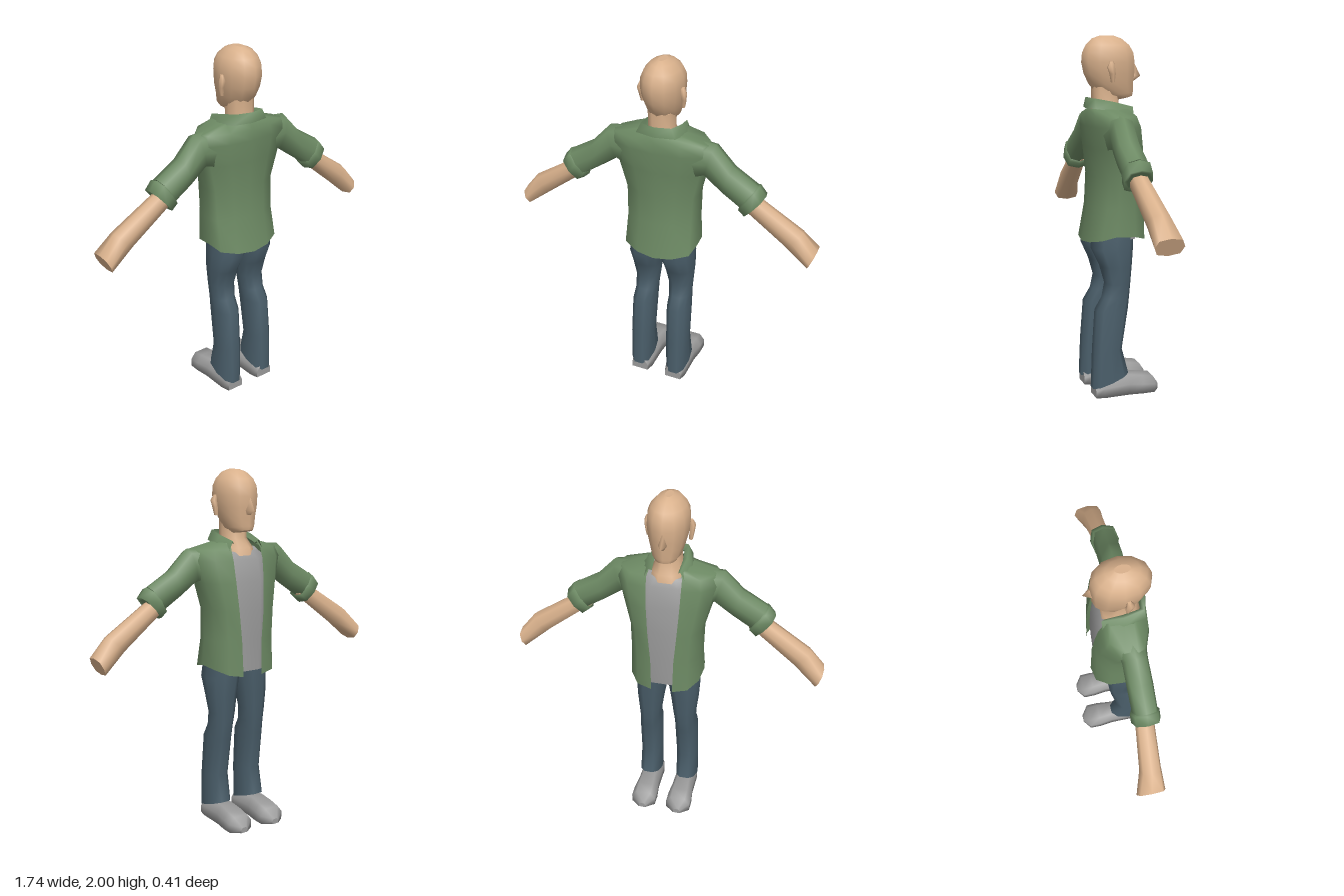
import * as THREE from 'three';

const mat = (name, color, side = THREE.FrontSide) => {
  const m = new THREE.MeshStandardMaterial({ color, side });
  m.name = name;
  return m;
};

// Ring of points: centre c, half axes u and v, p < 1 makes it boxier
function ring(c, u, v, n = 10, p = 0.8) {
  const pw = (t) => Math.sign(t) * Math.pow(Math.abs(t), p);
  return Array.from({ length: n }, (_, i) => {
    const a = (i / n) * Math.PI * 2, s = pw(Math.sin(a)), k = pw(Math.cos(a));
    return [0, 1, 2].map((j) => c[j] + u[j] * k + v[j] * s);
  });
}

// Level ring; drop lowers the back edge and raises the front edge
const level = (y, x0, x1, zf, zb, drop = 0, n = 10, p = 0.8) =>
  ring([(x0 + x1) / 2, y, (zf + zb) / 2], [(x1 - x0) / 2, 0, 0], [0, -drop, (zb - zf) / 2], n, p);

// Upright ring between a top and a bottom point, for limbs running sideways
const cross = (s, tx, ty, bx, by, zf, zb) =>
  ring([s * (tx + bx) / 2, (ty + by) / 2, (zf + zb) / 2],
    [s * (tx - bx) / 2, (ty - by) / 2, 0], [0, 0, (zb - zf) / 2], 8, 0.75);

// Skin joining successive rings; closed lofts get flat caps and face outwards
function loft(rings, closed = true) {
  const n = rings[0].length, pos = rings.flat(2), idx = [];
  const span = closed ? n : n - 1;
  for (let r = 0; r < rings.length - 1; r++) {
    for (let i = 0; i < span; i++) {
      const a = r * n + i, b = r * n + (i + 1) % n;
      idx.push(a, b, b + n, a, b + n, a + n);
    }
  }
  if (closed) {
    [rings[0], rings[rings.length - 1]].forEach((cap, k) => {
      const base = pos.length / 3;
      pos.push(...cap.flat());
      for (let i = 1; i < n - 1; i++) {
        idx.push(base, base + (k ? i : i + 1), base + (k ? i + 1 : i));
      }
    });
    const at = (i) => new THREE.Vector3().fromArray(pos, i * 3);
    let volume = 0;
    for (let i = 0; i < idx.length; i += 3) {
      volume += at(idx[i]).dot(at(idx[i + 1]).cross(at(idx[i + 2])));
    }
    if (volume < 0) idx.reverse();
  }
  const g = new THREE.BufferGeometry();
  g.setAttribute('position', new THREE.Float32BufferAttribute(pos, 3));
  g.setIndex(idx);
  g.computeVertexNormals();
  return g;
}

// Open strip row: half from the front edge to the centre back, then mirrored
const mirrored = (half) =>
  [...half, ...half.slice(0, -1).reverse().map(([x, y, z]) => [-x, y, z])];

export function createModel() {
  const model = new THREE.Group();
  model.name = 'standingMan';
  const skin = mat('skin', 0xd9b18c);
  const green = mat('greenCloth', 0x6d8a64, THREE.DoubleSide);
  const denim = mat('denim', 0x4a5e6a);
  const grey = mat('grey', 0x9c9c9c);
  const add = (name, geo, m) => {
    const mesh = new THREE.Mesh(geo, m);
    mesh.name = name;
    model.add(mesh);
    return mesh;
  };

  // Head, facing -z: y, half width, front z, back z, chin tilt
  add('head', loft([
    [1.667, 0.05, -0.086, 0.03, -0.012],
    [1.69, 0.075, -0.092, 0.11, -0.01],
    [1.745, 0.092, -0.093, 0.165, 0],
    [1.8, 0.106, -0.1, 0.192, 0],
    [1.86, 0.113, -0.101, 0.205, 0],
    [1.91, 0.11, -0.094, 0.2, 0],
    [1.95, 0.093, -0.07, 0.18, 0],
    [1.985, 0.06, -0.025, 0.145, 0],
    [2.0, 0.022, 0.02, 0.1, 0],
  ].map(([y, w, f, b, t]) => level(y, -w, w, f, b, -t, 12, 1))), skin);
  add('neck', loft([
    level(1.5, -0.1, 0.1, -0.06, 0.14),
    level(1.58, -0.09, 0.09, -0.045, 0.15),
    level(1.63, -0.07, 0.07, 0.0, 0.142),
    level(1.73, -0.072, 0.072, -0.01, 0.145),
  ]), skin);

  // Nose wedge, narrow at the bridge and wide at the nostrils
  add('nose', loft([
    [[-0.008, 1.85, -0.095], [0, 1.85, -0.102], [0.008, 1.85, -0.095]],
    [[-0.026, 1.785, -0.085], [0, 1.785, -0.137], [0.026, 1.785, -0.085]],
    [[-0.02, 1.76, -0.08], [0, 1.76, -0.1], [0.02, 1.76, -0.08]],
  ]), skin);

  // T-shirt under the open shirt
  add('tShirt', loft([
    level(0.9, -0.17, 0.17, -0.095, 0.15),
    level(1.08, -0.175, 0.175, -0.1, 0.15),
    level(1.25, -0.18, 0.18, -0.102, 0.14),
    level(1.4, -0.2, 0.2, -0.092, 0.15),
    level(1.52, -0.19, 0.19, -0.068, 0.15),
    level(1.575, -0.13, 0.13, -0.035, 0.14, -0.015),
  ]), grey);

  // Open shirt: y, opening, half width, front z, back z, hem drop
  add('shirtBody', loft([
    [0.93, 0.06, 0.205, -0.125, 0.21, 0.05],
    [1.08, 0.065, 0.2, -0.118, 0.175, 0],
    [1.25, 0.08, 0.205, -0.115, 0.165, 0],
    [1.4, 0.09, 0.245, -0.1, 0.175, 0],
    [1.52, 0.095, 0.28, -0.08, 0.185, 0],
    [1.578, 0.095, 0.265, -0.058, 0.18, 0],
    [1.612, 0.085, 0.125, -0.035, 0.165, 0],
  ].map(([y, a, w, f, b, d]) => mirrored([
    [a, y - d, f], [(a + w) / 2 + 0.01, y - d * 0.7, f + 0.015],
    [w * 0.95, y - d * 0.2, f + 0.085], [w, y, (f + b) / 2 + 0.03],
    [w * 0.93, y - d * 0.4, b - 0.055], [w * 0.5, y - d * 0.8, b - 0.012], [0, y - d, b],
  ])), false), green);

  // Folded collar, open in front
  add('collar', loft([
    [[0.07, 1.605, -0.04], [0.075, 1.63, 0.05], [0.065, 1.64, 0.14], [0, 1.64, 0.155]],
    [[0.085, 1.622, -0.06], [0.1, 1.65, 0.05], [0.085, 1.67, 0.155], [0, 1.67, 0.175]],
    [[0.115, 1.56, -0.058], [0.135, 1.6, 0.04], [0.11, 1.615, 0.16], [0, 1.615, 0.182]],
  ].map(mirrored), false), green);

  for (const s of [1, -1]) {
    const side = s > 0 ? 'left' : 'right';

    add(side + 'Ear', loft([
      level(1.755, s * 0.113 - 0.01, s * 0.113 + 0.01, 0.055, 0.075, 0, 6),
      level(1.8, s * 0.118 - 0.014, s * 0.118 + 0.014, 0.05, 0.085, 0, 6),
      level(1.835, s * 0.12 - 0.016, s * 0.12 + 0.016, 0.055, 0.098, 0, 6),
      level(1.865, s * 0.113 - 0.01, s * 0.113 + 0.01, 0.06, 0.08, 0, 6),
    ]), skin);

    // Sleeve with a rolled cuff
    add(side + 'Sleeve', loft([
      cross(s, 0.15, 1.59, 0.19, 1.37, -0.02, 0.15),
      cross(s, 0.3, 1.583, 0.25, 1.4, 0.005, 0.138),
      cross(s, 0.4, 1.475, 0.355, 1.327, 0.008, 0.145),
      cross(s, 0.535, 1.395, 0.455, 1.26, 0.012, 0.145),
    ]), green);
    add(side + 'Cuff', loft([
      cross(s, 0.51, 1.385, 0.45, 1.27, 0.02, 0.135),
      cross(s, 0.545, 1.393, 0.442, 1.25, 0.0, 0.155),
      cross(s, 0.583, 1.345, 0.476, 1.22, 0.0, 0.155),
      cross(s, 0.56, 1.33, 0.487, 1.24, 0.02, 0.135),
    ]), green);

    // Bare forearm ending in a simple hand
    add(side + 'Forearm', loft([
      cross(s, 0.5, 1.345, 0.44, 1.27, 0.025, 0.12),
      cross(s, 0.56, 1.308, 0.49, 1.235, 0.022, 0.12),
      cross(s, 0.79, 1.16, 0.7, 1.073, 0.0, 0.115),
      cross(s, 0.872, 1.06, 0.832, 0.968, -0.035, 0.122),
    ]), skin);

    // Trouser leg: y, inner x, outer x, front z, back z, hem slope
    add(side + 'TrouserLeg', loft([
      [0.96, -0.01, 0.175, -0.055, 0.17, 0],
      [0.85, 0.0, 0.186, -0.052, 0.182, 0],
      [0.75, 0.018, 0.182, -0.043, 0.135, 0],
      [0.65, 0.032, 0.172, -0.035, 0.107, 0],
      [0.57, 0.042, 0.167, -0.028, 0.125, 0],
      [0.5, 0.042, 0.172, -0.02, 0.168, 0],
      [0.27, 0.046, 0.176, 0.018, 0.185, 0],
      [0.085, 0.048, 0.178, -0.022, 0.195, 0.037],
    ].map(([y, a, b, f, k, d]) =>
      level(y, s > 0 ? a : -b, s > 0 ? b : -a, f, k, d))), denim);

    // Shoe: z, half width, height
    add(side + 'Shoe', loft([
      [0.18, 0.05, 0.07], [0.13, 0.062, 0.1], [-0.02, 0.062, 0.11],
      [-0.1, 0.072, 0.098], [-0.165, 0.072, 0.085], [-0.205, 0.02, 0.03],
    ].map(([z, w, h]) => [
      [-w, 0], [w, 0], [w, h * 0.55], [w * 0.6, h], [-w * 0.6, h], [-w, h * 0.55],
    ].map(([x, y]) => [s * 0.108 + x, y, z]))), grey);
  }
  return model;
}
